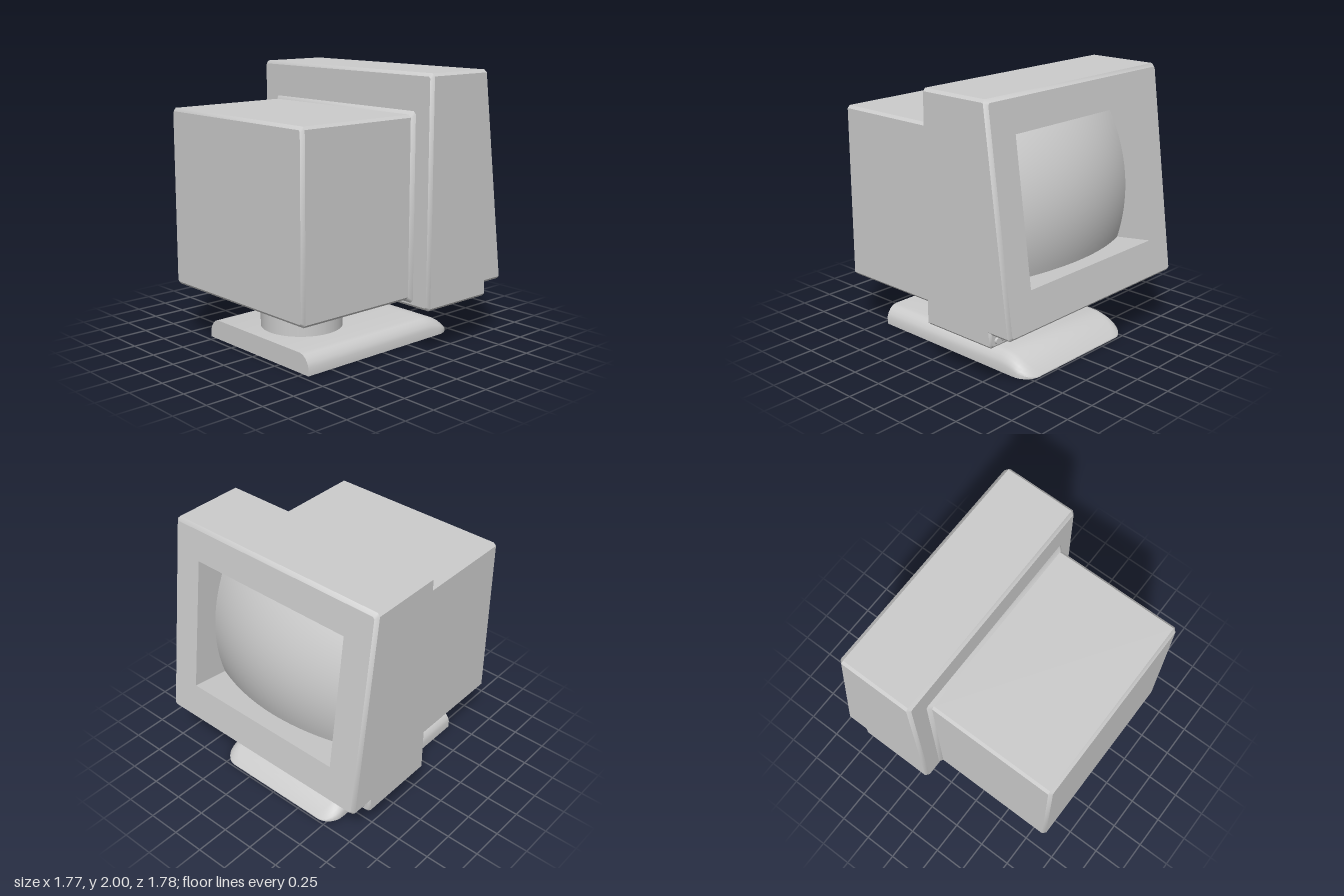
import * as THREE from 'three';
import { toCreasedNormals } from 'three/addons/utils/BufferGeometryUtils.js';

const material = new THREE.MeshStandardMaterial({ color: 0xcccccc });
const thin = new THREE.MeshStandardMaterial({ color: 0xcccccc, side: THREE.DoubleSide });

// Skin between rings of [x, y, z] points; rings run toward +x, each counter-clockwise seen from +x
function loft(rings, capStart, capEnd) {
  const n = rings[0].length, last = (rings.length - 1) * n, index = [];
  for (let i = 0; i < rings.length - 1; i++) {
    for (let j = 0; j < n; j++) {
      const a = i * n + j, b = i * n + (j + 1) % n;
      index.push(a, b, a + n, b, b + n, a + n);
    }
  }
  for (let j = 1; j < n - 1; j++) {
    if (capStart) index.push(0, j + 1, j);
    if (capEnd) index.push(last, last + j, last + j + 1);
  }
  const g = new THREE.BufferGeometry();
  g.setAttribute('position', new THREE.Float32BufferAttribute(rings.flat(2), 3));
  g.setIndex(index);
  return toCreasedNormals(g, 0.6);
}

// Rectangle with cut corners; x is a number or a function of y
function ring(x, y0, y1, w, inset = 0, c = 0.02) {
  const b = y0 + inset, t = y1 - inset, h = w - inset;
  return [[b, -h + c], [b + c, -h], [t - c, -h], [t, -h + c],
    [t, h - c], [t - c, h], [b + c, h], [b, h - c]]
    .map(([y, z]) => [typeof x === 'function' ? x(y) : x, y, z]);
}

// Leaning front plane, and a point at depth d behind it
const face = y => 0.885 - 0.1376 * (y - 0.47);
const behind = (y, z, d) => [face(y) - 0.99 * d, y - 0.136 * d, z];

export function createModel() {
  const model = new THREE.Group();
  const add = (name, geometry, mat = material) => {
    const mesh = new THREE.Mesh(geometry, mat);
    mesh.name = name;
    model.add(mesh);
    return mesh;
  };

  // Rear casing, flaring where it meets the front housing
  add('rearCasing', loft([
    ring(-0.89, 0.412, 1.715, 0.72, 0.022, 0.012),
    ring(-0.868, 0.412, 1.715, 0.72),
    ring(0.075, 0.412, 1.715, 0.72),
    ring(0.102, 0.412, 1.715, 0.72, -0.025)
  ], true, false));

  // Front housing: straight rear half, leaning front half, low control strip
  add('housingRear', loft([
    ring(0.1, 0.355, 2, 0.89, 0.022, 0.012),
    ring(0.122, 0.355, 2, 0.89),
    ring(0.6, 0.355, 2, 0.89)
  ], true, false));
  const rim = ring(face, 0.455, 2, 0.89, 0.022, 0.012);
  add('housingFront', loft([
    ring(0.6, 0.455, 2, 0.89),
    ring(y => face(y) - 0.024, 0.455, 2, 0.89),
    rim
  ], true, false));
  add('controlStrip', loft([
    ring(0.6, 0.355, 0.53, 0.89),
    ring(0.695, 0.355, 0.53, 0.89),
    ring(0.71, 0.355, 0.53, 0.89, 0.016, 0.012)
  ], false, true));

  // Bezel with the screen opening
  const L = 0.742, T = 1.752, W = 0.653;
  const outline = new THREE.Shape(rim.map(([, y, z]) => new THREE.Vector2(-z, y)));
  outline.holes.push(new THREE.Path([[-W, L], [-W, T], [W, T], [W, L]]
    .map(([u, v]) => new THREE.Vector2(u, v))));
  const bezel = new THREE.ShapeGeometry(outline);
  const bp = bezel.attributes.position;
  for (let i = 0; i < bp.count; i++) {
    const u = bp.getX(i), y = bp.getY(i);
    bp.setXYZ(i, face(y), y, -u);
  }
  bezel.computeVertexNormals();
  add('bezel', bezel);

  // Recess walls, the ceiling dipping slightly
  const opening = (top, d) => [[L, -W], [top, -W], [top, W], [L, W]].map(([y, z]) => behind(y, z, d));
  add('screenRecess', loft([opening(T - 0.02, 0.34), opening(T, 0)], false, false), thin);

  // Bulging screen
  const screen = new THREE.PlaneGeometry(2, 2, 28, 22);
  const sp = screen.attributes.position;
  for (let i = 0; i < sp.count; i++) {
    const u = sp.getX(i), v = sp.getY(i);
    const y = (L + T) / 2 + v * (T - L) / 2;
    sp.setXYZ(i, ...behind(y, -u * W, 0.035 + 0.14 * u * u + 0.12 * v * v));
  }
  screen.computeVertexNormals();
  add('screen', screen);

  // Control knobs
  for (const z of [0.83, 0.767, -0.825]) {
    const knob = add('knob', new THREE.CylinderGeometry(0.022, 0.022, 0.03, 20));
    knob.rotation.z = -Math.PI / 2;
    knob.position.set(0.712, 0.405, z);
  }

  // Swivel neck
  const neck = add('neck', new THREE.CylinderGeometry(0.3, 0.3, 0.32, 48));
  neck.position.set(-0.29, 0.28, 0);

  // Foot: rounded sides, front end curving down with rounded corners
  const section = (x, h, w) => {
    const side = [[0, 0], [0, 0.4], [0.01, 0.6], [0.03, 0.8], [0.055, 0.94], [0.09, 1]];
    const right = side.map(([i, k]) => [x, h * k, -w + i]);
    const left = side.map(([i, k]) => [x, h * k, w - i]).reverse();
    return [...right, ...left];
  };
  const foot = [section(-0.705, 0.145, 0.555), section(0.46, 0.145, 0.555)];
  for (let i = 1; i <= 12; i++) {
    const t = Math.sin(i / 12 * Math.PI / 2), x = 0.46 + 0.275 * t;
    const k = Math.max(0, (x - 0.6) / 0.135);
    foot.push(section(x, 0.145 - 0.138 * Math.pow(t, 2.1), 0.555 - 0.13 * (1 - Math.sqrt(Math.max(0, 1 - k * k)))));
  }
  add('foot', loft(foot, true, true));

  return model;
}
